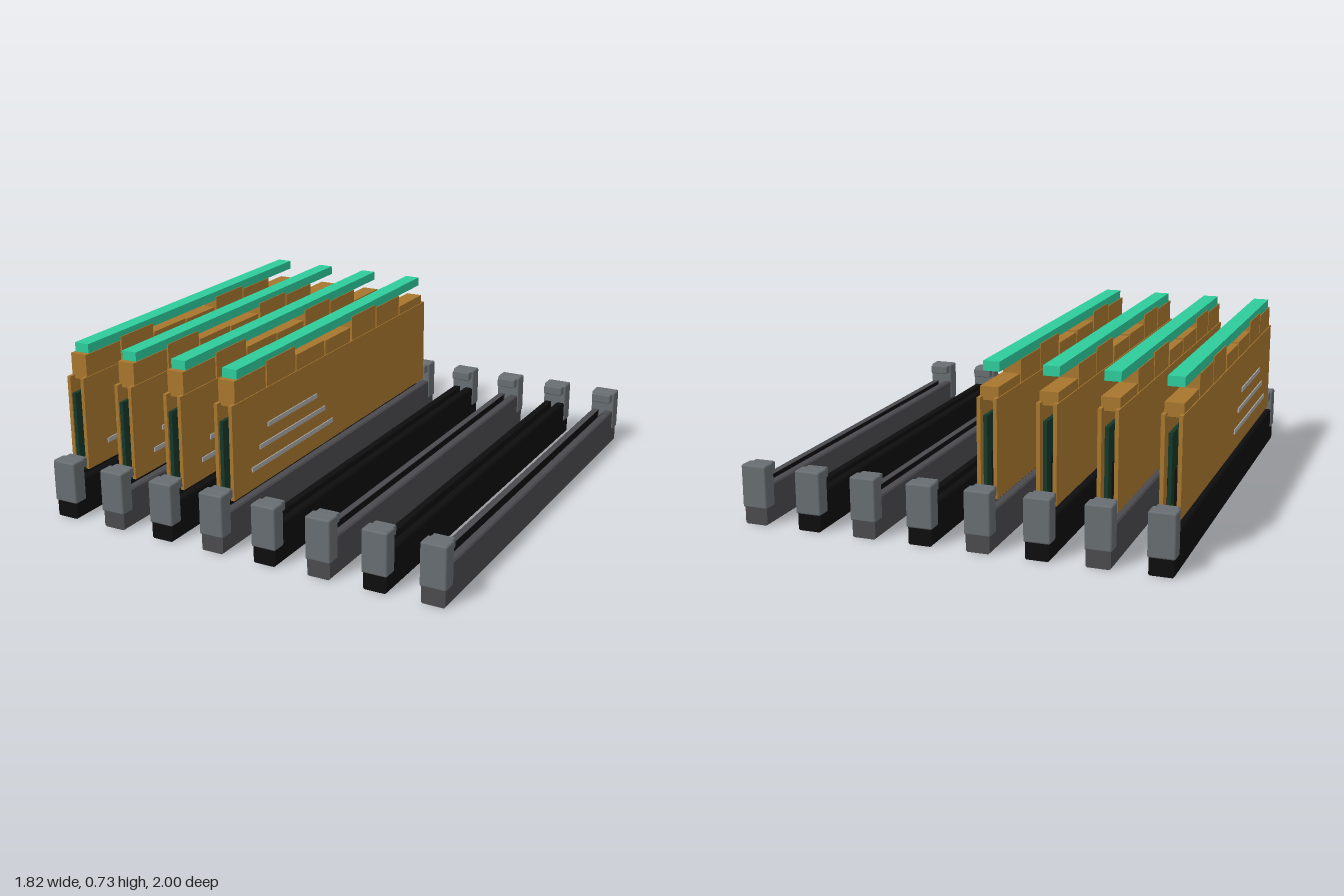
import * as THREE from 'three';
import { RoundedBoxGeometry } from 'three/addons/geometries/RoundedBoxGeometry.js';

const mat = (name, color) => {
  const m = new THREE.MeshStandardMaterial({ color });
  m.name = name;
  return m;
};

export function createModel() {
  const black = mat('black plastic', 0x0d0d0e);
  const grey = mat('dark grey plastic', 0x4a494d);
  const latchGrey = mat('latch grey', 0x676d71);
  const bronze = mat('bronze metal', 0xa8762d);
  const teal = mat('teal light bar', 0x2dcb9b);
  const green = mat('board green', 0x14382a);
  const silver = mat('silver stripe', 0xa9a9aa);

  const add = (parent, name, geometry, material, x = 0, y = 0, z = 0) => {
    const mesh = new THREE.Mesh(geometry, material);
    mesh.name = name;
    mesh.position.set(x, y, z);
    parent.add(mesh);
    return mesh;
  };
  // box given by its limits on each axis
  const box = (parent, name, material, [x0, x1], [y0, y1], [z0, z1]) =>
    add(parent, name, new THREE.BoxGeometry(x1 - x0, y1 - y0, z1 - z0), material,
      (x0 + x1) / 2, (y0 + y1) / 2, (z0 + z1) / 2);

  // U-shaped socket section with chamfered outer corners
  const c = 0.006, w = 0.05, h = 0.165, g = 0.016;
  const section = new THREE.Shape([
    [-w + c, 0], [w - c, 0], [w, c], [w, h - c], [w - c, h], [g, h], [g, 0.1],
    [-g, 0.1], [-g, h], [-w + c, h], [-w, h - c], [-w, c],
  ].map(([x, y]) => new THREE.Vector2(x, y)));
  const socketGeo = new THREE.ExtrudeGeometry(section, { depth: 1.98, bevelEnabled: false });
  socketGeo.translate(0, 0, -0.99);
  const latchGeo = new RoundedBoxGeometry(0.11, 0.183, 0.07, 2, 0.008);
  const armGeo = new RoundedBoxGeometry(0.09, 0.042, 0.04, 2, 0.006);

  function makeSocket(material) {
    const socket = new THREE.Group();
    socket.name = 'socket';
    add(socket, 'socketBody', socketGeo, material);
    // dark contact channel: floor and side linings
    box(socket, 'channelFloor', black, [-g, g], [0.1, 0.106], [-0.91, 0.91]);
    for (const s of [-1, 1]) {
      add(socket, 'channelLining', new THREE.BoxGeometry(0.002, 0.062, 1.82), black, s * (g - 0.001), 0.133, 0);
      add(socket, 'latch', latchGeo, latchGrey, 0, 0.1635, s * 0.965);
      add(socket, 'latchArm', armGeo, latchGrey, 0, 0.231, s * 0.917);
    }
    return socket;
  }

  // top edge heights of the seven crown blocks, front to back
  const crown = [
    [0.855, 0.62, 0.69], [0.61, 0.38, 0.705], [0.37, 0.13, 0.665], [0.12, -0.11, 0.66],
    [-0.13, -0.36, 0.705], [-0.37, -0.605, 0.69], [-0.615, -0.855, 0.635],
  ];
  const stripes = [[0.62, 0.21, 0.435], [0.685, 0.14, 0.357], [0.75, 0.07, 0.277]];

  function makeModule() {
    const module = new THREE.Group();
    module.name = 'memoryModule';
    box(module, 'circuitBoard', green, [-0.008, 0.008], [0.178, 0.53], [-0.9, 0.9]);
    box(module, 'boardKey', green, [-0.008, 0.008], [0.1, 0.19], [0.045, 0.075]);
    for (const s of [-1, 1]) {
      // memory chips along the board
      for (let i = 0; i < 8; i++) {
        add(module, 'chip', new THREE.BoxGeometry(0.012, 0.17, 0.17), black, s * 0.014, 0.295, -0.77 + i * 0.22);
      }
      add(module, 'spreaderPlate', new THREE.BoxGeometry(0.016, 0.405, 1.77), bronze, s * 0.034, 0.3925, 0);
      for (const [z0, z1, y] of stripes) {
        add(module, 'stripe', new THREE.BoxGeometry(0.006, 0.02, z0 - z1), silver, s * 0.044, y, (z0 + z1) / 2);
      }
    }
    box(module, 'controllerChip', black, [0.008, 0.015], [0.43, 0.465], [-0.06, 0.06]);
    // crown: a thin bridge with stepped blocks
    box(module, 'spreaderBridge', bronze, [-0.034, 0.034], [0.58, 0.592], [-0.855, 0.855]);
    for (const [z0, z1, top] of crown) {
      box(module, 'crownBlock', bronze, [-0.038, 0.038], [0.585, top], [z1, z0]);
    }
    box(module, 'lightBar', teal, [-0.034, 0.034], [0.69, 0.73], [-0.83, 0.83]);
    return module;
  }

  const model = new THREE.Group();
  model.name = 'memoryBank';
  for (let i = 0; i < 8; i++) {
    const x = (i - 3.5) * 0.2443;
    const socket = makeSocket(i % 2 ? grey : black);
    socket.position.x = x;
    model.add(socket);
    if (i < 4) {
      const module = makeModule();
      module.position.x = x;
      model.add(module);
    }
  }
  return model;
}
